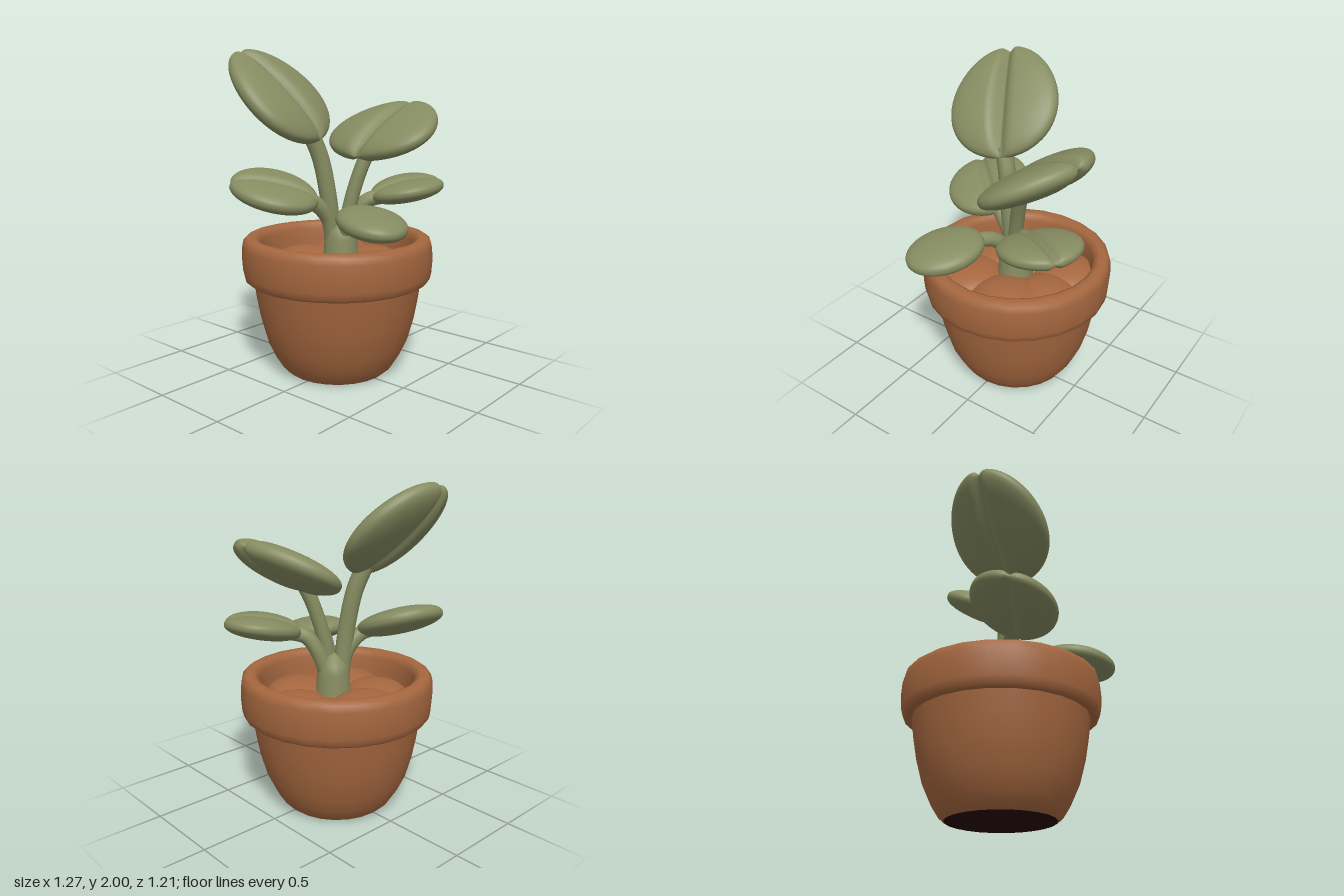
import * as THREE from 'three';
import { mergeVertices } from 'three/addons/utils/BufferGeometryUtils.js';

const V = (a) => new THREE.Vector3(...a);

// Thick folded leaf: base and tip of the midrib, half-width vector, half thickness, fold, taper, crease depth
function leafGeometry({ base, tip, side, thick, fold = 0, taper = 0, crease = 0.5 }) {
  let g = new THREE.SphereGeometry(1, 64, 32).rotateX(Math.PI / 2);
  g.deleteAttribute('uv');
  g.deleteAttribute('normal');
  g = mergeVertices(g, 1e-4);
  const p = g.attributes.position;
  for (let i = 0; i < p.count; i++) {
    let x = p.getX(i), y = p.getY(i), z = p.getZ(i);
    const groove = crease * Math.exp(-((x / 0.09) ** 2));
    y = Math.sign(y) * Math.abs(y) ** 0.85 * (1 - groove) + fold * (Math.abs(x) - 0.4);
    z -= 0.12 * groove * Math.max(z, 0);
    x *= 1 - taper * z;
    p.setXYZ(i, x, y, z);
  }
  const along = V(tip).sub(V(base)).multiplyScalar(0.5);
  const across = V(side);
  const up = along.clone().cross(across).normalize();
  if (up.y < 0) { up.negate(); across.negate(); }
  const m = new THREE.Matrix4().makeBasis(across, up.multiplyScalar(thick), along);
  m.setPosition(V(base).add(V(tip)).multiplyScalar(0.5));
  g.applyMatrix4(m);
  g.computeVertexNormals();
  return g;
}

export function createModel() {
  const group = new THREE.Group();
  const terracotta = new THREE.MeshStandardMaterial({ color: 0xa5673f });
  terracotta.name = 'terracotta';
  const green = new THREE.MeshStandardMaterial({ color: 0x858b60 });
  green.name = 'leafGreen';
  const dark = new THREE.MeshStandardMaterial({ color: 0x240704 });
  dark.name = 'darkBase';

  const add = (name, geometry, material, pos = [0, 0, 0]) => {
    const mesh = new THREE.Mesh(geometry, material);
    mesh.name = name;
    mesh.position.set(...pos);
    group.add(mesh);
    return mesh;
  };
  const lathe = (pts, seg) => new THREE.LatheGeometry(pts.map(([r, y]) => new THREE.Vector2(r, y)), seg);
  const cx = -0.035, cz = -0.015;

  // Pot body, rim and underside
  add('potBody', lathe([[0.32, 0], [0.355, 0.03], [0.4, 0.1], [0.447, 0.2], [0.486, 0.34],
    [0.51, 0.47], [0.528, 0.6]], 24), terracotta, [cx, 0, cz]);
  add('potRim', lathe([[0.5, 0.6], [0.53, 0.588], [0.56, 0.583], [0.58, 0.6], [0.59, 0.64], [0.596, 0.72],
    [0.592, 0.8], [0.583, 0.838], [0.56, 0.856], [0.52, 0.858], [0.495, 0.845], [0.48, 0.81], [0.473, 0.74],
    [0.46, 0.64]], 24), terracotta, [cx, 0, cz]);
  add('potBase', new THREE.CircleGeometry(0.32, 24).rotateX(Math.PI / 2), dark, [cx, 0.001, cz]);

  // Soil with broad rounded lumps
  add('soil', new THREE.CircleGeometry(0.48, 24).rotateX(-Math.PI / 2), terracotta, [cx, 0.67, cz]);
  [[-0.23, -0.27, 0.22], [0.13, 0.22, 0.23], [0.21, -0.1, 0.23], [0.03, -0.27, 0.2], [-0.26, 0.02, 0.22],
    [-0.13, 0.22, 0.22]].forEach(([x, z, r]) => {
    add('soilLump', new THREE.SphereGeometry(r, 24, 14), terracotta, [x, 0.66, z]).scale.y = 0.47;
  });

  // Trunk flaring at the soil
  add('trunk', lathe([[0.125, 0.64], [0.108, 0.74], [0.102, 0.84], [0.088, 0.9], [0.05, 0.95], [0, 0.97]], 20),
    green, [-0.01, 0, -0.02]);

  // Stems
  const stems = [
    [0.054, [-0.04, 0.84, 0.02], [-0.05, 1.1, 0.05], [-0.08, 1.35, 0.09], [-0.115, 1.5, 0.14]],
    [0.044, [0.01, 0.84, -0.02], [0.04, 1.08, -0.06], [0.08, 1.28, -0.11], [0.11, 1.39, -0.15]],
    [0.048, [-0.04, 0.84, 0.02], [-0.05, 0.98, 0.06], [-0.08, 1.07, 0.14], [-0.12, 1.1, 0.21]],
    [0.047, [0, 0.82, 0], [0.07, 0.94, 0.01], [0.14, 1.01, 0.05], [0.25, 1.03, 0.11]],
    [0.047, [0, 0.82, -0.06], [0.04, 0.98, -0.105], [0.09, 1.07, -0.15], [0.17, 1.1, -0.23]],
  ];
  stems.forEach(([r, ...pts]) => {
    const curve = new THREE.CatmullRomCurve3(pts.map(V));
    add('stem', new THREE.TubeGeometry(curve, 20, r, 12), green);
  });

  // Leaves
  const leaves = {
    tallLeaf: { base: [-0.045, 1.46, 0.12], tip: [-0.505, 1.98, 0.36], side: [0.1, -0.065, 0.32], thick: 0.1,
      fold: 0.2, taper: 0.12, crease: 0.65 },
    backLeaf: { base: [0.1, 1.355, -0.02], tip: [0.165, 1.665, -0.55], side: [0.38, 0, 0.04], thick: 0.095,
      fold: 0.15, taper: 0.18, crease: 0.65 },
    frontRightLeaf: { base: [-0.04, 1.09, 0.15], tip: [-0.41, 1.21, 0.53], side: [0.18, -0.07, 0.18], thick: 0.082,
      fold: 0.22, crease: 0.45 },
    frontLeftLeaf: { base: [0.195, 1.05, 0.085], tip: [0.615, 0.975, 0.31], side: [-0.09, 0.01, 0.175], thick: 0.075,
      crease: 0 },
    backLowLeaf: { base: [0.12, 1.1, -0.16], tip: [0.38, 1.18, -0.55], side: [0.185, -0.015, 0.15], thick: 0.072,
      fold: 0.38, taper: -0.08, crease: 0.4 },
  };
  for (const [name, spec] of Object.entries(leaves)) add(name, leafGeometry(spec), green);

  return group;
}
